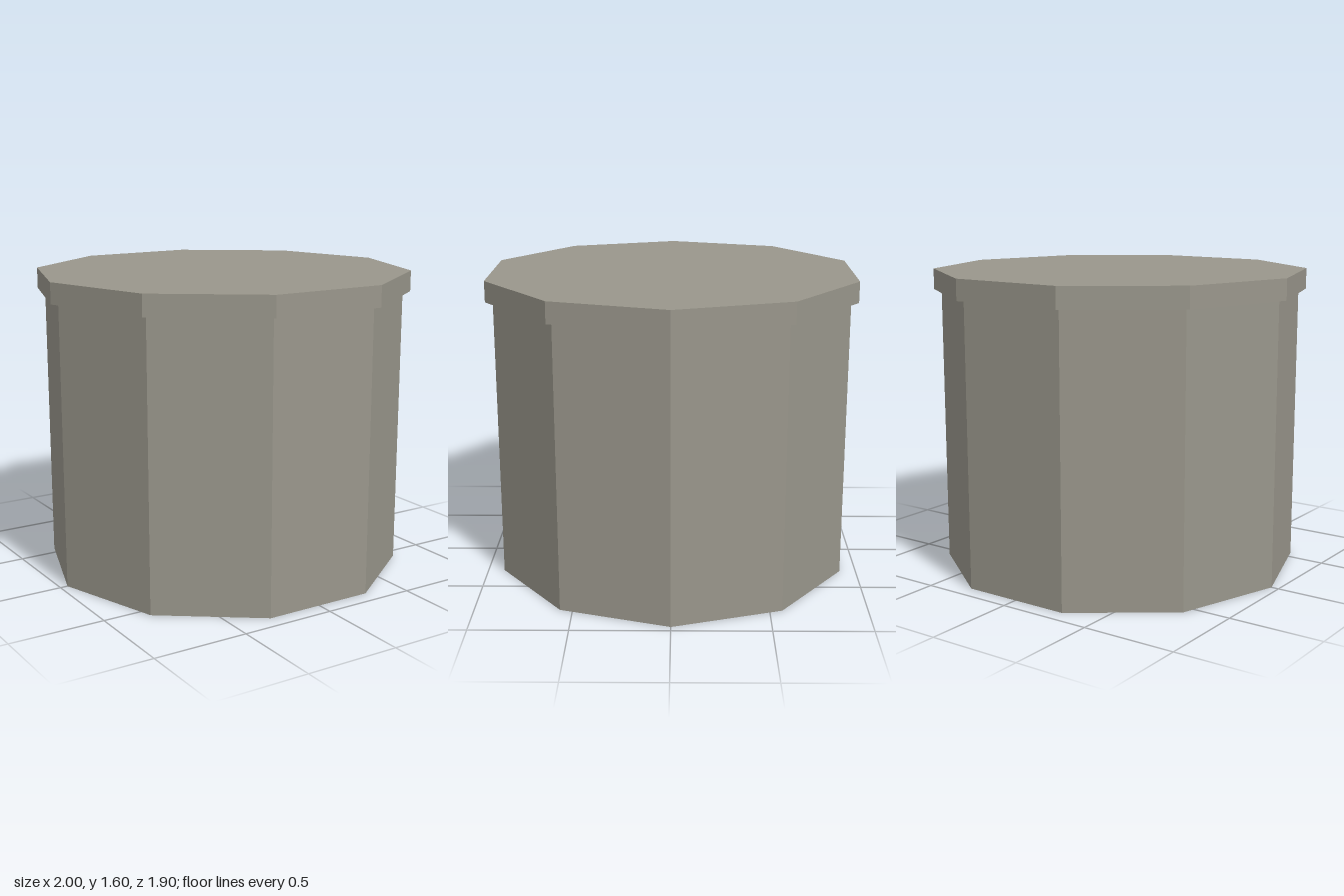
import * as THREE from 'three';

export function createModel() {
  const group = new THREE.Group();
  const stone = new THREE.MeshStandardMaterial({ color: 0x99968b, flatShading: true });
  stone.name = 'warm grey stone';

  // Ten-sided solid with corners on the x axis
  function decagon(name, radius, bottom, top) {
    const geometry = new THREE.CylinderGeometry(radius, radius, top - bottom, 10, 1, false, Math.PI / 2);
    const mesh = new THREE.Mesh(geometry, stone);
    mesh.name = name;
    mesh.position.y = (bottom + top) / 2;
    group.add(mesh);
  }

  decagon('body', 0.96, 0, 1.49); // column
  decagon('lid', 1, 1.49, 1.6); // overhanging slab

  return group;
}
